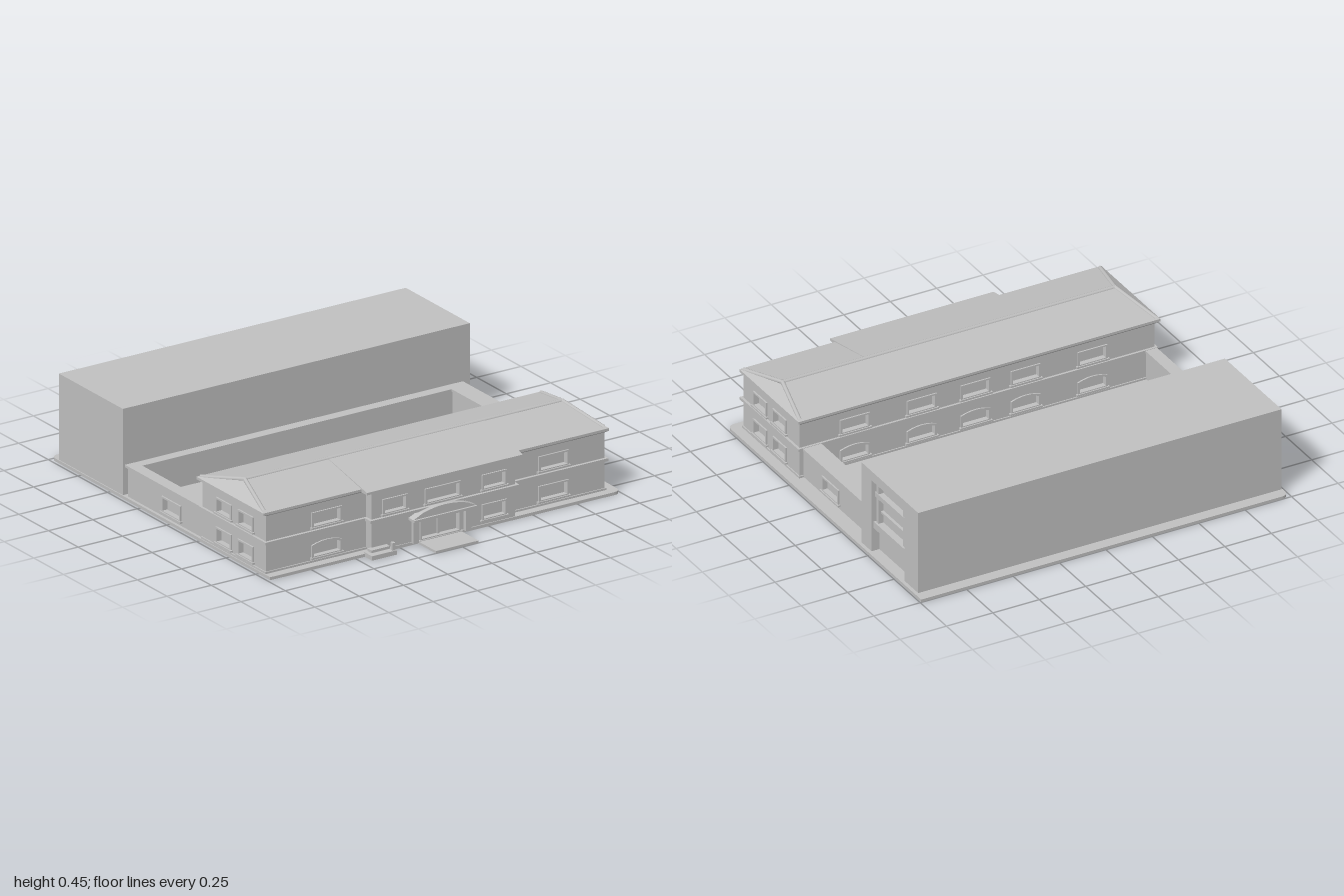
import * as THREE from 'three';

const stone = new THREE.MeshStandardMaterial({ color: 0xc0c0c0 });
stone.name = 'pale grey';
const T = 0.02; // depth of the window reveals

function add(parent, name, geometry) {
  const mesh = new THREE.Mesh(geometry, stone);
  mesh.name = name;
  parent.add(mesh);
  return mesh;
}

// Box given by its extents on each axis
function block(parent, name, x0, x1, y0, y1, z0, z1) {
  const mesh = add(parent, name, new THREE.BoxGeometry(x1 - x0, y1 - y0, z1 - z0));
  mesh.position.set((x0 + x1) / 2, (y0 + y1) / 2, (z0 + z1) / 2);
  return mesh;
}

function rod(parent, name, a, b, r) {
  return add(parent, name, new THREE.TubeGeometry(new THREE.LineCurve3(a, b), 1, r, 8));
}

function outline(path, u0, u1, v0, v1, arched) {
  const shoulder = arched ? v1 - 0.015 : v1;
  path.moveTo(u0, v0).lineTo(u1, v0).lineTo(u1, shoulder);
  if (arched) path.quadraticCurveTo((u0 + u1) / 2, v1 + 0.015, u0, shoulder);
  else path.lineTo(u0, v1);
  path.closePath();
  return path;
}

// Wall skin with real openings, each with a raised surround and a sill
function wall(parent, name, angle, face, u0, u1, v0, v1, windows) {
  const group = new THREE.Group();
  group.name = name;
  group.rotation.y = angle;
  group.position.set(Math.sin(angle) * (face - T), 0, Math.cos(angle) * (face - T));
  parent.add(group);
  const shape = outline(new THREE.Shape(), u0, u1, v0, v1);
  for (const w of windows) {
    shape.holes.push(outline(new THREE.Path(), ...w));
    const [a, b, c, d, arched] = w;
    const trim = outline(new THREE.Shape(), a - 0.01, b + 0.01, c - 0.008, d + 0.008, arched);
    trim.holes.push(outline(new THREE.Path(), ...w));
    const surround = add(group, 'windowSurround',
      new THREE.ExtrudeGeometry(trim, { depth: 0.008, bevelEnabled: false, curveSegments: 6 }));
    surround.position.z = T;
    block(group, 'windowSill', a - 0.018, b + 0.018, c - 0.014, c - 0.005, T, T + 0.014);
  }
  add(group, 'wallSkin',
    new THREE.ExtrudeGeometry(shape, { depth: T, bevelEnabled: false, curveSegments: 6 }));
  return group;
}

// Closed solid lofted through rings of equal length
function loft(rings) {
  const n = rings[0].length, pos = [];
  const tri = (a, b, c) => pos.push(...a, ...b, ...c);
  for (let i = 0; i + 1 < rings.length; i++) {
    for (let j = 0; j < n; j++) {
      const k = (j + 1) % n, A = rings[i], B = rings[i + 1];
      tri(A[j], A[k], B[k]);
      tri(A[j], B[k], B[j]);
    }
  }
  const top = rings[rings.length - 1], low = rings[0];
  for (let j = 1; j + 1 < n; j++) {
    tri(top[0], top[j], top[j + 1]);
    tri(low[0], low[j + 1], low[j]);
  }
  const g = new THREE.BufferGeometry();
  g.setAttribute('position', new THREE.Float32BufferAttribute(pos, 3));
  g.computeVertexNormals();
  return g;
}

// Horizontal rectangle, counter-clockwise from above
const rect = (x0, x1, y, z0, z1) => [[x0, y, z1], [x1, y, z1], [x1, y, z0], [x0, y, z0]];

function groundPlate(parent) {
  const s = new THREE.Shape(), x0 = -0.985, x1 = 0.995, z0 = -1, z1 = 0.85, r = 0.04;
  s.moveTo(x0, -z1).lineTo(x1 - r, -z1).quadraticCurveTo(x1, -z1, x1, -z1 + r);
  s.lineTo(x1, -z0).lineTo(x0 + r, -z0).quadraticCurveTo(x0, -z0, x0, -z0 - r).closePath();
  const plate = add(parent, 'groundPlate', new THREE.ExtrudeGeometry(s, { depth: 0.015, bevelEnabled: false }));
  plate.rotation.x = -Math.PI / 2;
  block(parent, 'entrancePath', -0.15, 0.09, 0, 0.012, 0.84, 1);
}

function mainBuilding(parent) {
  const g = new THREE.Group();
  g.name = 'mainBuilding';
  parent.add(g);
  const L = -0.975, R = 0.935, B = 0.265, F = 0.8, C = 0.845, y0 = 0.012, y1 = 0.312;
  block(g, 'core', L + T, R - T, y0, y1, B + T, F - T);
  block(g, 'centreCore', -0.41 + T, 0.4 - T, y0, y1, F - T, C - T);
  const low = (a, b, arched) => [a, b, 0.045, 0.108, arched];
  const high = (a, b) => [a, b, 0.197, 0.258];

  // Front walls, with the middle bay standing forward
  wall(g, 'frontWallRight', 0, F, L, -0.41, y0, y1, [low(-0.71, -0.56, true), high(-0.71, -0.56)]);
  wall(g, 'frontWallLeft', 0, F, 0.4, R, y0, y1, [low(0.57, 0.72), high(0.57, 0.72)]);
  wall(g, 'frontWallCentre', 0, C, -0.41, 0.4, y0, y1, [
    [-0.13, 0.08, 0.02, 0.12], low(0.22, 0.34),
    high(-0.34, -0.22), high(-0.1, 0.08), high(0.22, 0.34)]);
  block(g, 'bayCheek', -0.41, -0.41 + T, y0, y1, F - T, C - T);
  block(g, 'bayCheek', 0.4 - T, 0.4, y0, y1, F - T, C - T);

  // Courtyard wall
  const rear = [];
  for (const u of [-0.64, -0.28, 0.01, 0.28, 0.64]) {
    rear.push(low(u - 0.07, u + 0.07, true), high(u - 0.07, u + 0.07));
  }
  wall(g, 'rearWall', Math.PI, -B, -R, -L, y0, y1, rear);

  // End walls: two windows on each floor
  for (const s of [1, -1]) {
    const ends = [];
    for (const z of [0.635, 0.45]) {
      const u = -s * z;
      ends.push(low(u - 0.055, u + 0.055), high(u - 0.055, u + 0.055));
    }
    const [a, b] = s > 0 ? [-F, -B] : [B, F];
    wall(g, 'endWall', s * Math.PI / 2, s > 0 ? R : -L, a, b, y0, y1, ends);
  }

  // Storey band and plinth
  block(g, 'storeyBand', L - 0.013, R + 0.013, 0.163, 0.177, B - 0.012, F + 0.015);
  block(g, 'storeyBandCentre', -0.425, 0.415, 0.163, 0.177, F, C + 0.015);
  block(g, 'plinth', L - 0.006, R + 0.006, y0, 0.025, B - 0.006, F + 0.006);

  // Hipped roof
  add(g, 'hipRoof', loft([
    rect(L, R, 0.305, 0.26, 0.8), rect(-1, 0.95, 0.315, 0.25, 0.815),
    rect(-1, 0.95, 0.328, 0.25, 0.815), rect(-0.91, 0.88, 0.387, 0.515, 0.535)]));
  add(g, 'bayRoof', loft([
    rect(-0.445, 0.435, 0.312, 0.7, 0.86), rect(-0.445, 0.435, 0.324, 0.6, 0.86),
    rect(-0.445, 0.435, 0.388, 0.52, 0.54)]));
  rod(g, 'ridgeCap', new THREE.Vector3(-0.915, 0.385, 0.525), new THREE.Vector3(0.885, 0.385, 0.525), 0.011);
  for (const [x, xr] of [[-0.985, -0.91], [0.935, 0.88]]) {
    for (const z of [0.265, 0.8]) {
      rod(g, 'hipCap', new THREE.Vector3(x, 0.329, z), new THREE.Vector3(xr, 0.386, 0.525), 0.011);
    }
  }
}

function entrance(parent) {
  const g = new THREE.Group();
  g.name = 'entrance';
  parent.add(g);
  block(g, 'canopy', -0.2, 0.155, 0.128, 0.14, 0.83, 0.895);
  const s = new THREE.Shape();
  s.moveTo(-0.2, 0.14).lineTo(0.155, 0.14).lineTo(0.1, 0.165);
  s.quadraticCurveTo(-0.02, 0.2, -0.145, 0.165).closePath();
  const gable = add(g, 'pediment', new THREE.ExtrudeGeometry(s, { depth: 0.05, bevelEnabled: false }));
  gable.position.z = 0.835;
  for (const x of [-0.185, 0.11]) block(g, 'pier', x, x + 0.03, 0.01, 0.13, 0.84, 0.865);
  block(g, 'doorMullion', -0.03, -0.02, 0.02, 0.12, 0.824, 0.835);
  // Side steps with a low post
  block(g, 'sideStep', -0.45, -0.31, 0, 0.022, 0.84, 0.91);
  block(g, 'sideStepUpper', -0.43, -0.325, 0.022, 0.035, 0.84, 0.875);
  block(g, 'stepPost', -0.33, -0.315, 0.01, 0.06, 0.885, 0.905);
}

function courtyard(parent) {
  const g = new THREE.Group();
  g.name = 'courtyardWings';
  parent.add(g);
  const win = [[-0.07, 0.07, 0.045, 0.108]];
  block(g, 'rightCore', 0.835, 0.91 - T, 0.012, 0.165, -0.37, 0.28);
  wall(g, 'rightWing', Math.PI / 2, 0.915, -0.27, 0.37, 0.012, 0.165, win);
  block(g, 'leftCore', -0.97 + T, -0.93, 0.012, 0.165, -0.37, 0.28);
  wall(g, 'leftWing', -Math.PI / 2, 0.97, -0.37, 0.27, 0.012, 0.165, win);
  block(g, 'backWing', -0.97, 0.915, 0.012, 0.165, -0.37, -0.335);
  // Copings
  block(g, 'rightCoping', 0.825, 0.925, 0.163, 0.175, -0.38, 0.27);
  block(g, 'leftCoping', -0.982, -0.92, 0.163, 0.175, -0.38, 0.27);
  block(g, 'backCoping', -0.92, 0.825, 0.163, 0.175, -0.38, -0.325);
}

function hall(parent) {
  const g = new THREE.Group();
  g.name = 'rearHall';
  parent.add(g);
  block(g, 'hallBody', -0.98, 0.935, 0.012, 0.45, -0.94, -0.4);
  // Right end: recessed glazed bay between two fins
  block(g, 'frontFin', 0.935, 0.977, 0.012, 0.45, -0.495, -0.4);
  block(g, 'backFin', 0.935, 0.977, 0.012, 0.45, -0.94, -0.81);
  block(g, 'bayHead', 0.935, 0.977, 0.4, 0.45, -0.81, -0.495);
  block(g, 'bayBand', 0.935, 0.965, 0.315, 0.34, -0.8, -0.505);
  block(g, 'baySill', 0.935, 0.972, 0.145, 0.18, -0.8, -0.505);
  for (const z of [-0.79, -0.535]) block(g, 'bayJamb', 0.935, 0.962, 0.17, 0.4, z, z + 0.02);
  block(g, 'bayTransom', 0.935, 0.95, 0.235, 0.245, -0.78, -0.53);
}

export function createModel() {
  const model = new THREE.Group();
  model.name = 'courtyardBuilding';
  groundPlate(model);
  mainBuilding(model);
  entrance(model);
  courtyard(model);
  hall(model);
  return model;
}
